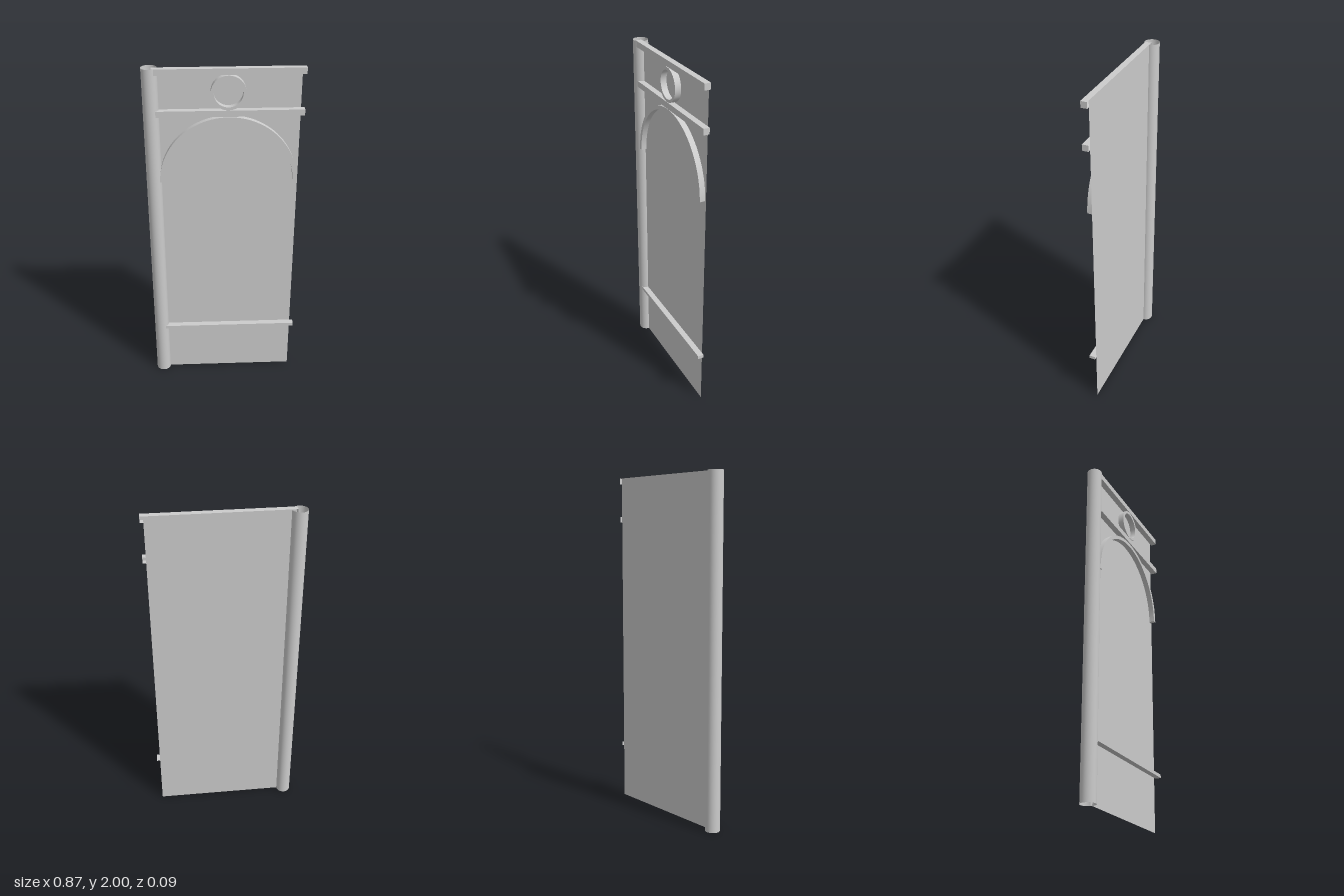
import * as THREE from 'three';
import { toCreasedNormals } from 'three/addons/utils/BufferGeometryUtils.js';

const material = new THREE.MeshStandardMaterial({ color: 0xcccccc, side: THREE.DoubleSide });
const DEPTH = 0.035; // how far the trim stands out from the panel
const CENTER_X = 0.023; // middle of the panel

export function createModel() {
  const group = new THREE.Group();

  const add = (name, geometry, x, y, z) => {
    const mesh = new THREE.Mesh(geometry, material);
    mesh.name = name;
    mesh.position.set(x, y, z);
    group.add(mesh);
    return mesh;
  };

  // Horizontal rail, open at the back where it lies on the panel
  const addRail = (name, bottom, top) => {
    const geometry = new THREE.BoxGeometry(0.812, top - bottom, DEPTH);
    geometry.setIndex(Array.from(geometry.index.array).slice(0, 30)); // drop the -z face
    geometry.clearGroups();
    add(name, geometry, 0.026, (bottom + top) / 2, DEPTH / 2);
  };

  // Rectangular moulding swept around z, open at the back
  const moulding = (inner, outer, depth, start, sweep, segments) => {
    const profile = [[outer, 0], [outer, depth], [inner, depth], [inner, 0]]
      .map(([r, h]) => new THREE.Vector2(r, h));
    const geometry = new THREE.LatheGeometry(profile, segments, start, sweep);
    geometry.rotateX(Math.PI / 2);
    return toCreasedNormals(geometry, Math.PI / 5);
  };

  // Thin door panel
  add('panel', new THREE.PlaneGeometry(0.78, 2), CENTER_X, 1, 0);

  // Open tube along the hinge side
  add('hingePost', new THREE.CylinderGeometry(0.043, 0.043, 2, 32, 1, true), -0.391, 1, 0);

  // Rails
  addRail('topRail', 1.965, 2);
  addRail('middleRail', 1.735, 1.77);
  addRail('lowerRail', 0.325, 0.345);

  // Round ornament between the upper rails
  add('ringTrim', moulding(0.079, 0.095, DEPTH, 0, Math.PI * 2, 48), CENTER_X, 1.867, 0);

  // Semicircular arch with closed feet
  const archDepth = 0.032;
  add('archTrim', moulding(0.36, 0.381, archDepth, Math.PI / 2, Math.PI, 48), CENTER_X, 1.35, 0);
  for (const side of [-1, 1]) {
    const foot = new THREE.PlaneGeometry(0.021, archDepth).rotateX(Math.PI / 2);
    add('archFoot', foot, CENTER_X + side * 0.3705, 1.35, archDepth / 2);
  }

  return group;
}
